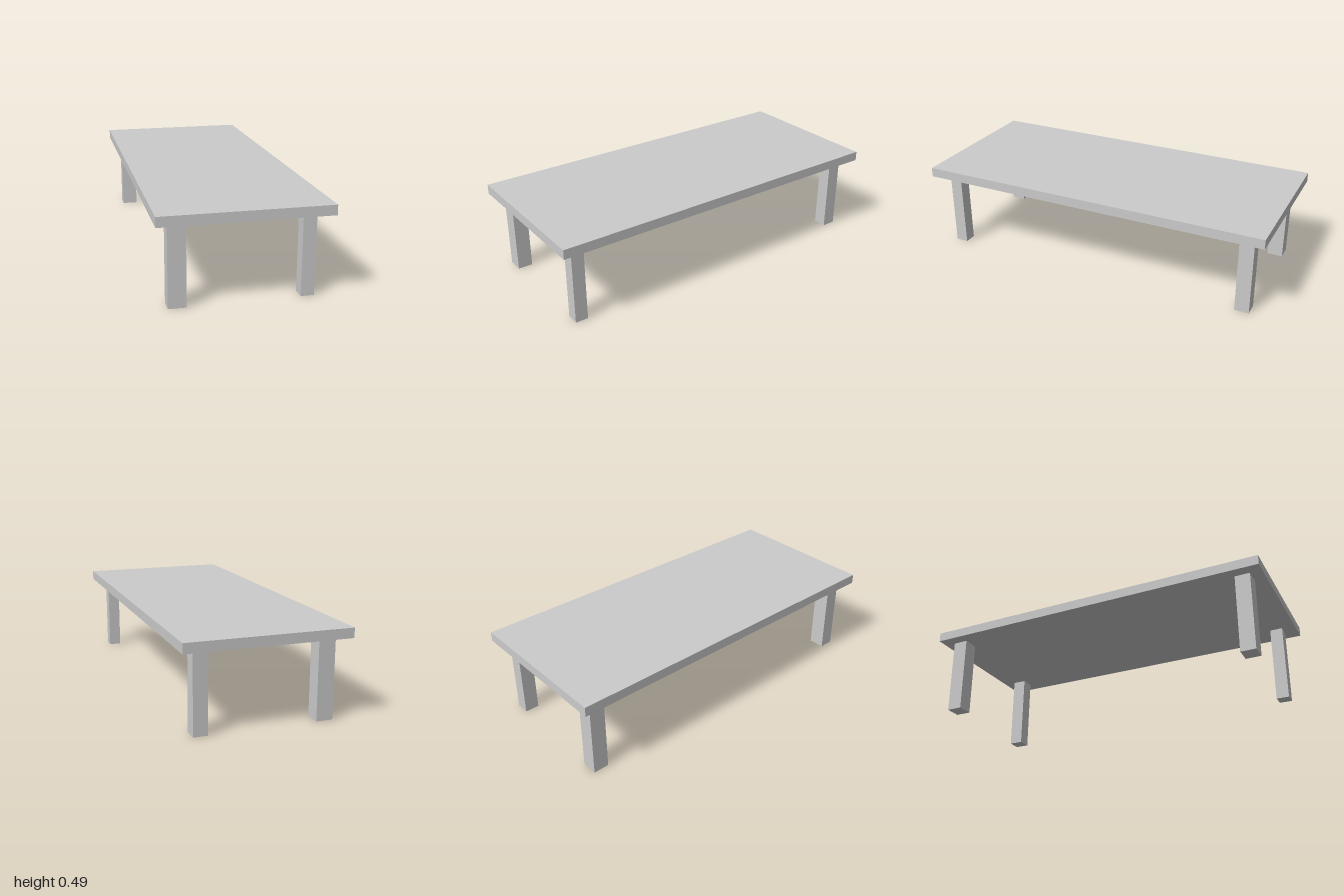
import * as THREE from 'three';

export function createModel() {
  const table = new THREE.Group();
  table.name = 'table';
  const material = new THREE.MeshStandardMaterial({ color: 0xcccccc, flatShading: true });
  const topY = 0.49, underY = 0.437;

  // Box given by its extents on each axis
  const addBox = (name, [x0, x1], [y0, y1], [z0, z1]) => {
    const mesh = new THREE.Mesh(new THREE.BoxGeometry(x1 - x0, y1 - y0, z1 - z0), material);
    mesh.position.set((x0 + x1) / 2, (y0 + y1) / 2, (z0 + z1) / 2);
    mesh.name = name;
    table.add(mesh);
  };

  // Slab top
  addBox('tableTop', [-0.44, 0.44], [underY, topY], [-1, 1]);

  // Four legs, each of slightly different thickness
  const legs = [
    ['frontLeftLeg', [0.297, 0.367], [0.855, 0.926]],
    ['frontRightLeg', [-0.377, -0.285], [0.852, 0.935]],
    ['backLeftLeg', [0.292, 0.369], [-0.932, -0.852]],
    ['backRightLeg', [-0.375, -0.285], [-0.935, -0.848]],
  ];
  for (const [name, x, z] of legs) addBox(name, x, [0, underY], z);

  return table;
}
